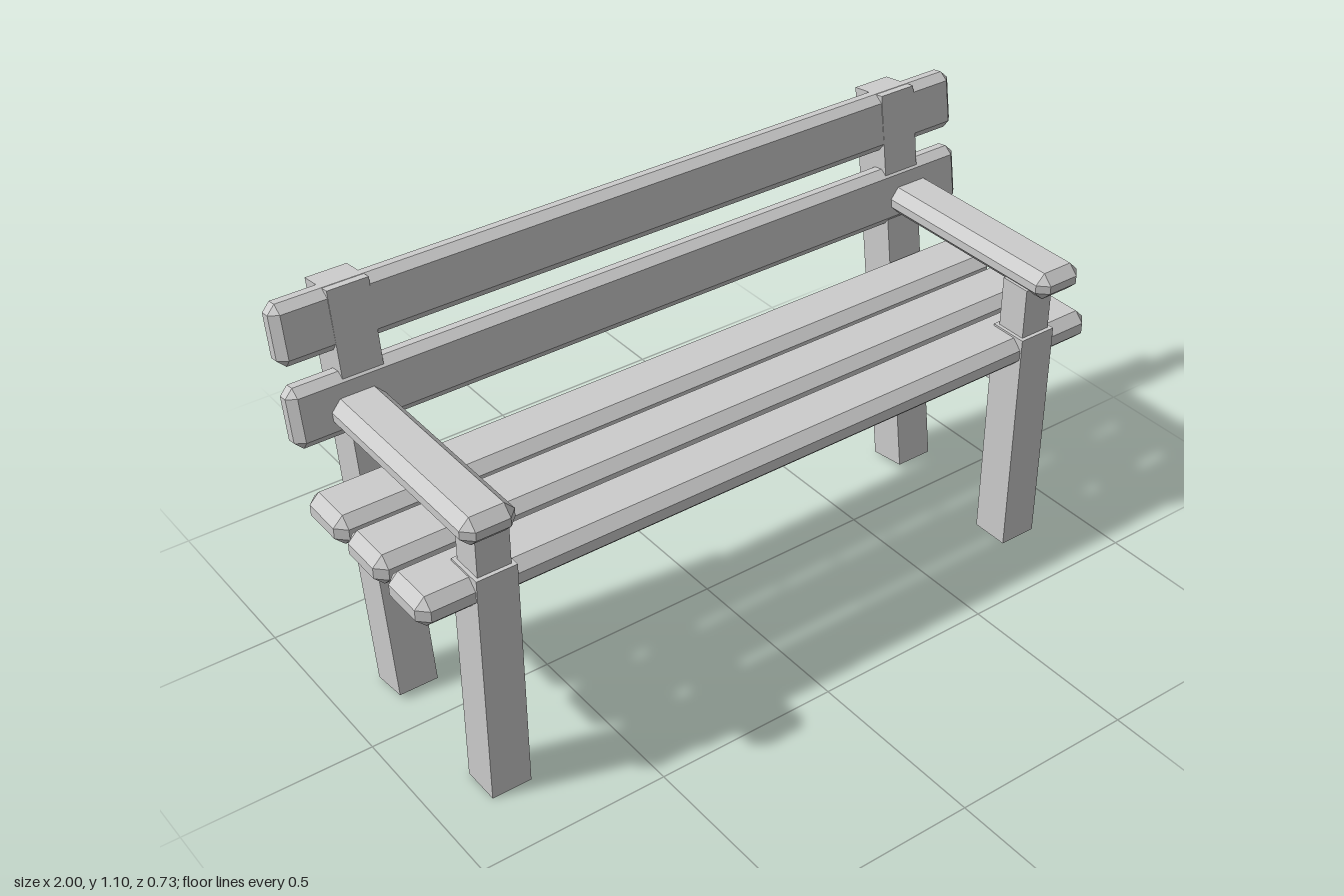
import * as THREE from 'three';
import { ConvexGeometry } from 'three/addons/geometries/ConvexGeometry.js';

// Box with every edge cut by one flat chamfer: the hull of its three sets of inset faces
function chamferBox(w, h, d, c) {
  const points = [];
  for (const sx of [-1, 1]) for (const sy of [-1, 1]) for (const sz of [-1, 1]) {
    const x = w / 2, y = h / 2, z = d / 2;
    points.push(
      new THREE.Vector3(sx * x, sy * (y - c), sz * (z - c)),
      new THREE.Vector3(sx * (x - c), sy * y, sz * (z - c)),
      new THREE.Vector3(sx * (x - c), sy * (y - c), sz * z)
    );
  }
  return new ConvexGeometry(points);
}

export function createModel() {
  const bench = new THREE.Group();
  bench.name = 'bench';
  const wood = new THREE.MeshStandardMaterial({ color: 0xcccccc });
  wood.name = 'paleGrey';

  function add(name, geometry, x, y, z, tilt = 0) {
    const mesh = new THREE.Mesh(geometry, wood);
    mesh.name = name;
    mesh.position.set(x, y, z);
    mesh.rotation.x = tilt;
    bench.add(mesh);
  }

  // Three seat slats
  const seatSlat = chamferBox(2, 0.081, 0.163, 0.026);
  [0.234, 0.053, -0.126].forEach((z, i) => add('seatSlat' + (i + 1), seatSlat, 0, 0.6, z));

  // Two leaning back slats
  const backSlat = chamferBox(2, 0.154, 0.068, 0.021);
  add('lowerBackSlat', backSlat, 0, 0.816, -0.245, -0.16);
  add('upperBackSlat', backSlat, 0, 1.019, -0.282, -0.16);

  // Side frames, mirrored
  const frontLeg = new THREE.BoxGeometry(0.107, 0.646, 0.105);
  const armPost = new THREE.BoxGeometry(0.088, 0.17, 0.084);
  const backLeg = new THREE.BoxGeometry(0.107, 1.095, 0.106);
  const rail = new THREE.BoxGeometry(0.085, 0.1, 0.45);
  const armrest = chamferBox(0.14, 0.074, 0.645, 0.026);
  for (const [side, s] of [['left', 1], ['right', -1]]) {
    add(side + 'FrontLeg', frontLeg, s * 0.808, 0.323, 0.268);
    add(side + 'ArmPost', armPost, s * 0.808, 0.7, 0.268);
    add(side + 'BackLeg', backLeg, s * 0.808, 0.55, -0.2335, -0.14);
    add(side + 'SeatRail', rail, s * 0.808, 0.518, 0.02);
    add(side + 'Armrest', armrest, s * 0.834, 0.804, 0.0425);
  }
  return bench;
}
